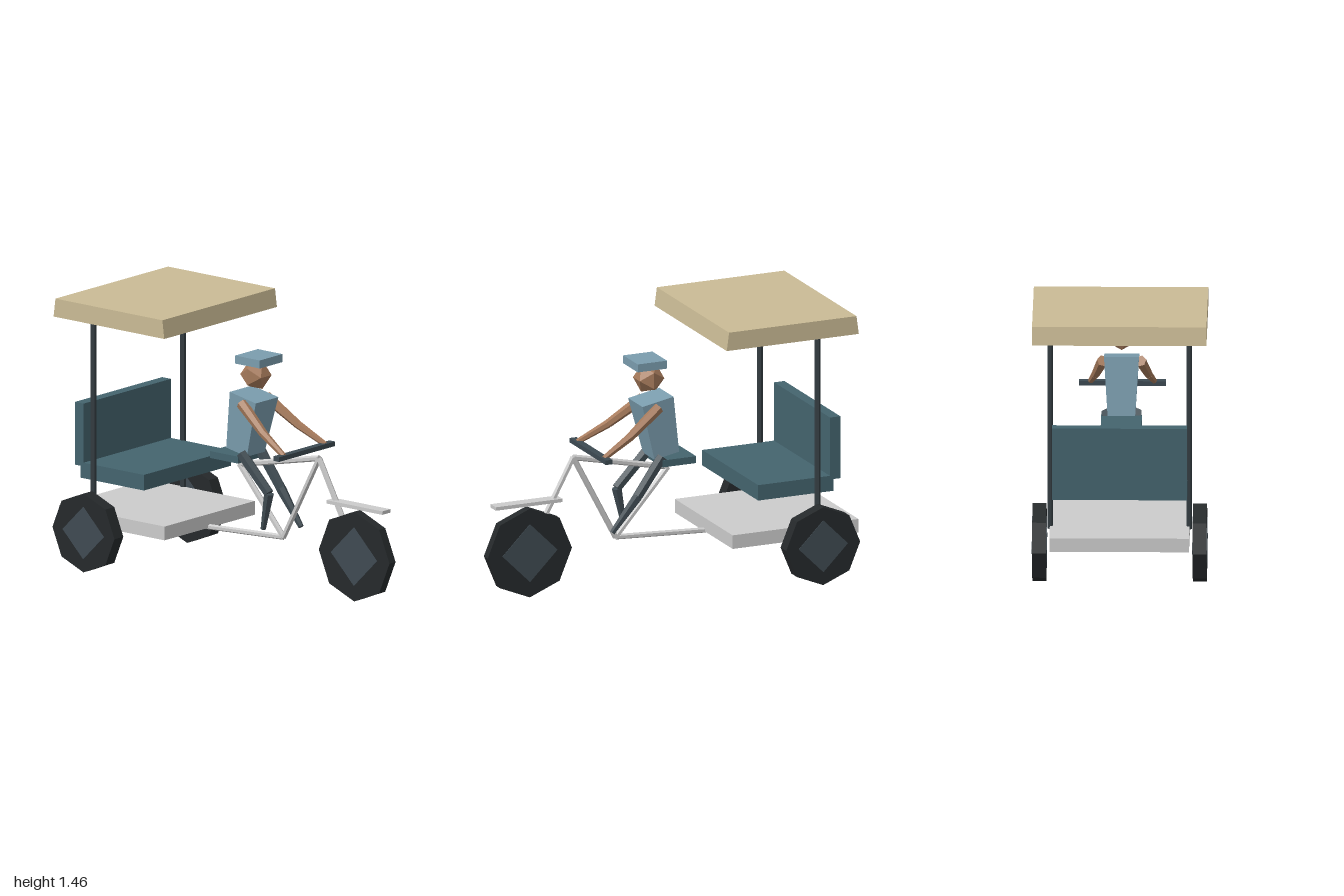
import * as THREE from 'three';

const mat = (color) => new THREE.MeshStandardMaterial({ color, flatShading: true });
const GREY = mat(0xcccccc), CANVAS = mat(0xcabb95), TEAL = mat(0x44646e), SHIRT = mat(0x7b9dae);
const SKIN = mat(0xa67a5b), TROUSERS = mat(0x3f4b52), TYRE = mat(0x25292b), HUB = mat(0x3f4a52);
const POST = mat(0x343d42), BAR = mat(0x3d4a52);

const V = (p) => new THREE.Vector3(...p);

function add(parent, name, geometry, material, x = 0, y = 0, z = 0) {
  const mesh = new THREE.Mesh(geometry, material);
  mesh.name = name;
  mesh.position.set(x, y, z);
  parent.add(mesh);
  return mesh;
}

// box from its extents on each axis: [min, max]
function block(parent, name, material, [x0, x1], [y0, y1], [z0, z1]) {
  return add(parent, name, new THREE.BoxGeometry(x1 - x0, y1 - y0, z1 - z0), material,
    (x0 + x1) / 2, (y0 + y1) / 2, (z0 + z1) / 2);
}

// box whose top face is scaled in x and z
function taperedBox(w, h, d, sx, sz) {
  const g = new THREE.BoxGeometry(w, h, d);
  const p = g.attributes.position;
  for (let i = 0; i < p.count; i++) {
    if (p.getY(i) > 0) p.setXYZ(i, p.getX(i) * sx, p.getY(i), p.getZ(i) * sz);
  }
  g.computeVertexNormals();
  return g;
}

// tapered rod between two points
function rod(parent, name, material, a, b, ra, rb = ra, sides = 6) {
  const from = V(a), to = V(b), dir = to.clone().sub(from);
  const mesh = add(parent, name, new THREE.CylinderGeometry(rb, ra, dir.length(), sides), material);
  mesh.position.copy(from).add(to).multiplyScalar(0.5);
  mesh.quaternion.setFromUnitVectors(new THREE.Vector3(0, 1, 0), dir.normalize());
  return mesh;
}

// two-part limb with a bend in the middle
function limb(parent, name, material, points, radii) {
  const g = new THREE.Group();
  g.name = name;
  for (let i = 0; i < 2; i++) {
    rod(g, name + (i ? 'Lower' : 'Upper'), material, points[i], points[i + 1], radii[i], radii[i + 1]);
  }
  parent.add(g);
}

function wheel(parent, name, x, z, r, hubR, width) {
  const g = new THREE.Group();
  g.name = name;
  g.position.set(x, r, z);
  const disc = (part, m, rad, w, n) =>
    add(g, part, new THREE.CylinderGeometry(rad, rad, w, n).rotateZ(Math.PI / 2), m);
  disc('tyre', TYRE, r, width, 8);
  disc('hub', HUB, hubR, width + 0.006, 4);
  parent.add(g);
}

export function createModel() {
  const model = new THREE.Group();
  model.name = 'cycleRickshaw';

  // wheels
  wheel(model, 'frontWheel', 0, 0.755, 0.245, 0.16, 0.05);
  for (const s of [1, -1]) wheel(model, 'rearWheel', s * 0.425, -0.753, 0.215, 0.143, 0.073);

  // cycle frame
  const head = [0, 0.735, 0.492], crank = [0, 0.265, 0.245], seatTop = [0, 0.615, -0.06];
  const axle = [0, 0.215, -0.753];
  rod(model, 'fork', GREY, head, [0, 0.247, 0.755], 0.016);
  rod(model, 'topTube', GREY, head, seatTop, 0.016);
  rod(model, 'downTube', GREY, head, crank, 0.016);
  rod(model, 'seatTube', GREY, crank, seatTop, 0.016);
  rod(model, 'rearRail', GREY, crank, axle, 0.015);
  block(model, 'frontMudguard', GREY, [-0.033, 0.033], [0.506, 0.525], [0.57, 0.957]);
  block(model, 'handlebar', BAR, [-0.23, 0.23], [0.744, 0.769], [0.368, 0.407]);
  block(model, 'saddle', TEAL, [-0.108, 0.108], [0.65, 0.688], [-0.175, 0.02]);

  // passenger cabin
  block(model, 'deck', GREY, [-0.37, 0.37], [0.235, 0.31], [-1, -0.268]);
  block(model, 'benchSeat', TEAL, [-0.358, 0.358], [0.48, 0.565], [-0.86, -0.422]);
  block(model, 'benchBack', TEAL, [-0.358, 0.358], [0.545, 0.887], [-0.9, -0.84]);
  for (const s of [1, -1]) {
    add(model, 'canopyPost', new THREE.CylinderGeometry(0.0155, 0.0155, 1.075, 6).rotateY(Math.PI / 6),
      POST, s * 0.368, 0.8325, -0.763);
  }
  add(model, 'canopy', taperedBox(0.924, 0.1, 0.768, 1, 0.965), CANVAS, 0, 1.413, -0.576);

  // rider
  const rider = new THREE.Group();
  rider.name = 'rider';
  model.add(rider);
  add(rider, 'torso', taperedBox(0.146, 0.316, 0.146, 1.27, 1.26), SHIRT, 0, 0.855, 0.01).rotation.x = 0.19;
  add(rider, 'head', new THREE.IcosahedronGeometry(0.084).rotateY(Math.PI / 2), SKIN, 0, 1.121, 0.053);
  block(rider, 'cap', SHIRT, [-0.093, 0.093], [1.188, 1.232], [-0.012, 0.158]);
  for (const s of [1, -1]) {
    limb(rider, 'arm', SKIN,
      [[s * 0.1, 0.98, 0.04], [s * 0.14, 0.85, 0.225], [s * 0.17, 0.762, 0.39]], [0.031, 0.023, 0.015]);
  }
  // one leg stretched forward, the other bent at the knee
  limb(rider, 'leftLeg', TROUSERS,
    [[0.078, 0.7, 0.01], [0.085, 0.5, 0.155], [0.078, 0.315, 0.3]], [0.031, 0.028, 0.015]);
  limb(rider, 'rightLeg', TROUSERS,
    [[-0.078, 0.7, 0.02], [-0.073, 0.51, 0.205], [-0.073, 0.31, 0.165]], [0.031, 0.028, 0.015]);

  return model;
}
